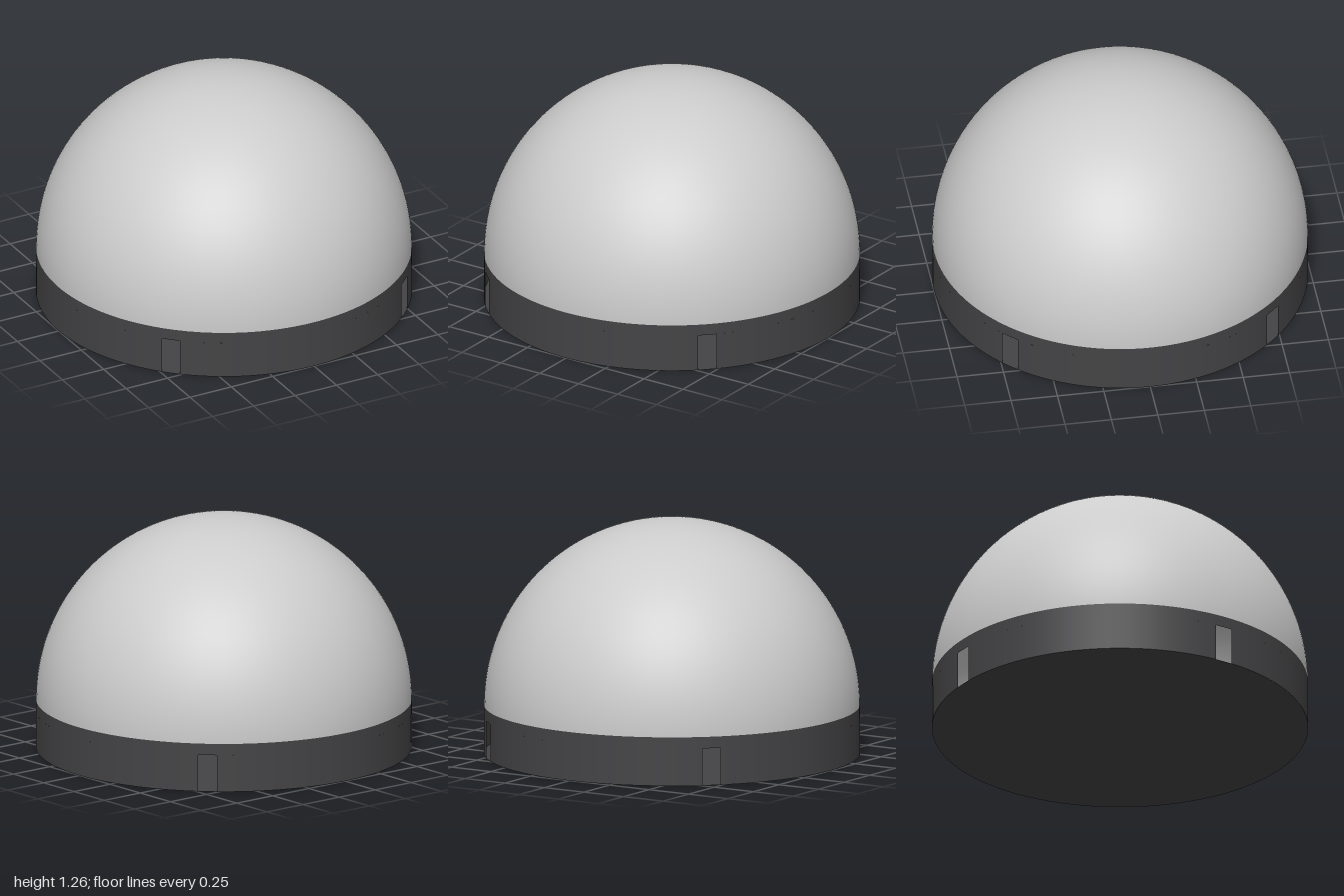
import * as THREE from 'three';

const BASE_H = 0.262;   // height of the dark base band
const SLOT_H = 0.2;     // height of the slots, open down to the floor
const SLOT_ANGLE = 0.1; // slot width in radians at radius 1

export function createModel() {
  const group = new THREE.Group();
  const shell = new THREE.MeshStandardMaterial({ color: 0xcccccc, side: THREE.DoubleSide });
  const dark = new THREE.MeshStandardMaterial({ color: 0x444446, side: THREE.DoubleSide });

  const add = (name, geometry, material, y) => {
    const mesh = new THREE.Mesh(geometry, material);
    mesh.name = name;
    mesh.position.y = y;
    group.add(mesh);
    return mesh;
  };

  // Thin hemispherical shell
  add('dome', new THREE.SphereGeometry(1, 128, 48, 0, Math.PI * 2, 0, Math.PI / 2), shell, BASE_H);

  // Unbroken strip of the band above the slots
  const stripH = BASE_H - SLOT_H;
  add('baseUpperBand', new THREE.CylinderGeometry(1, 1, stripH, 128, 1, true), dark, SLOT_H + stripH / 2);

  // Four wall arcs, leaving a diagonal slot between each pair
  const arc = Math.PI / 2 - SLOT_ANGLE;
  for (let i = 0; i < 4; i++) {
    const start = Math.PI / 4 + i * Math.PI / 2 + SLOT_ANGLE / 2;
    add('baseWall' + (i + 1), new THREE.CylinderGeometry(1, 1, SLOT_H, 32, 1, true, start, arc), dark, SLOT_H / 2);
  }

  // Closed floor
  const floor = add('baseFloor', new THREE.CircleGeometry(1, 128), dark, 0);
  floor.rotation.x = Math.PI / 2;

  return group;
}
